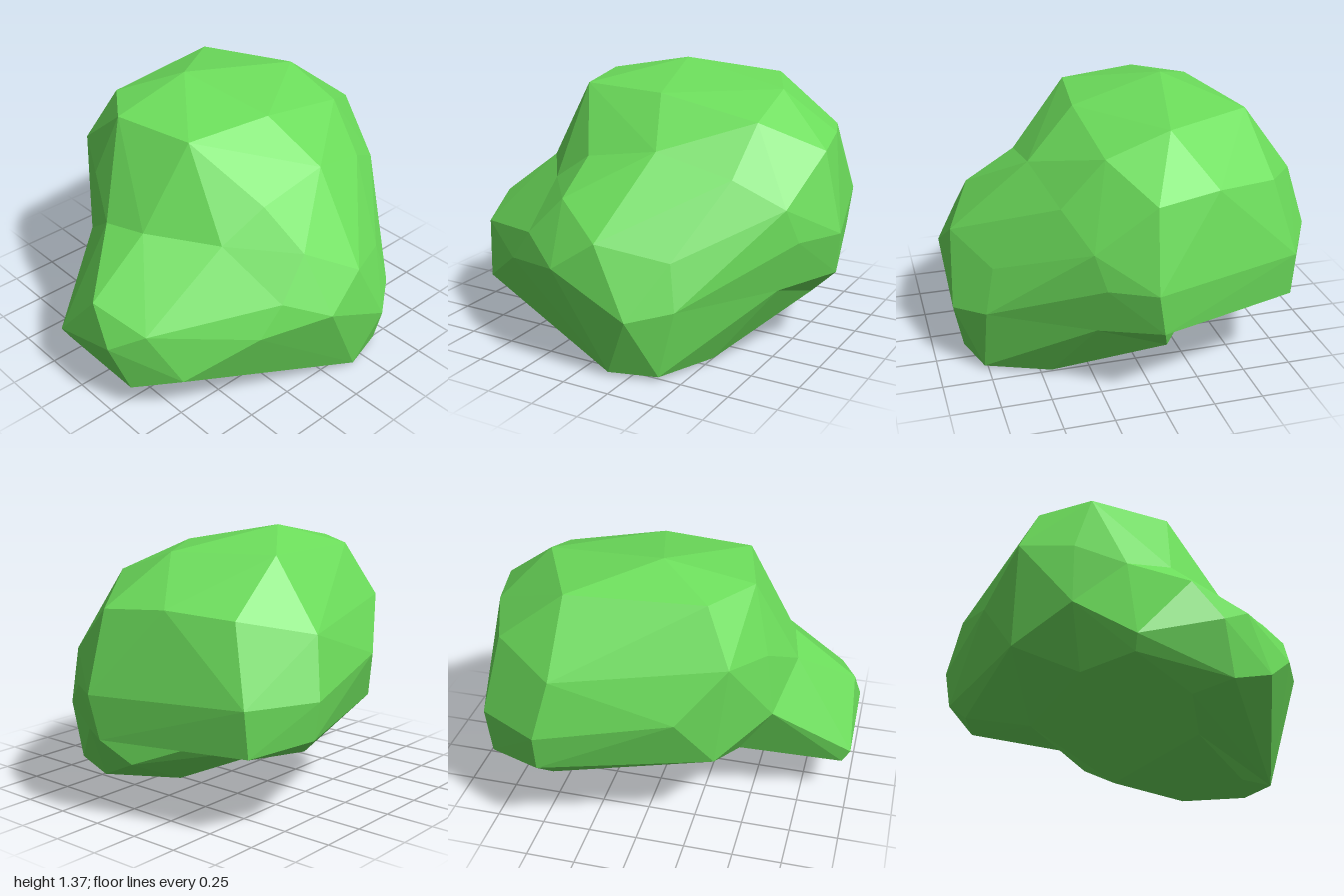
import * as THREE from 'three';
import { ConvexGeometry } from 'three/addons/geometries/ConvexGeometry.js';

// Faceted convex clump through a set of corner points
function clump(name, points, material) {
  const geometry = new ConvexGeometry(points.map((p) => new THREE.Vector3(...p)));
  const mesh = new THREE.Mesh(geometry, material);
  mesh.name = name;
  return mesh;
}

export function createModel() {
  const leafGreen = new THREE.MeshStandardMaterial({ color: 0x6cdd5b });
  leafGreen.name = 'leaf green';

  // Corners shared by neighbouring clumps
  const shoulder = [
    [-0.41, 0.82, 0.43], [-0.18, 0.97, 0.48], [0.21, 1.04, 0.48], [0.58, 0.93, 0.4],
    [0.82, 0.79, 0.3], [0.87, 0.62, 0.25], [0.78, 0.37, 0.28], [-0.38, 0.3, 0.3],
  ];
  const chin = [
    [0.47, 0.36, 0.76], [0.28, 0.32, 0.9], [-0.12, 0.52, 0.91], [-0.46, 0.47, 0.76],
  ];
  const waist = [-0.61, 0.62, -0.37];
  const flank = [[-0.69, 0.81, -0.12], [-0.64, 0.84, 0.11], waist];
  const rightTip = [0.97, 0.41, 0];
  const rightLow = [0.82, 0.26, -0.06];
  const backCorner = [-0.37, 0.47, -0.63];
  const backLow = [[0.75, 0.41, -0.73], [0.41, 0.38, -0.79], backCorner];
  const valley = [[0.6, 0.33, -0.25], [0.17, 0.27, -0.46]];
  const hollow = [-0.44, 0.33, -0.3];
  const sole = [-0.38, 0.08, 0.3];
  const toe = [0.15, 0.02, 0.84];

  // Tall rounded top with sides and back
  const crown = [
    [-0.03, 1.37, -0.28], [-0.3, 1.27, -0.51], [-0.48, 1.28, -0.26], [-0.38, 1.27, 0.16],
    [0.09, 1.27, 0.22], [0.6, 1.28, -0.13], [0.38, 1.28, -0.59], [0.61, 1.17, 0.19],
    [0.71, 1.02, -0.62], [0.83, 1.05, -0.3], [0.9, 1.03, 0.02], [1.0, 0.63, 0.04],
    [0.78, 0.64, -0.73], [0.46, 0.65, -0.91], [0.46, 0.46, -0.88], [0.39, 0.94, -0.84],
    [-0.2, 0.74, -0.76], [-0.43, 1.0, -0.62], [-0.57, 0.95, -0.36],
    rightTip, ...backLow, ...flank, ...shoulder,
  ];
  // Bulging front
  const front = [
    [0.42, 0.58, 0.71], [0.1, 0.67, 0.87], [-0.16, 0.82, 0.74], [-0.34, 0.63, 0.78],
    ...chin, ...shoulder,
  ];
  // Underside, tapering to the ground
  const base = [
    [0.52, 0.02, 0.45], [0.39, 0.02, 0.77], [0.02, 0, 0.64], [0.38, 0.055, 0.03],
    [0.65, 0.15, 0.24], [0.78, 0.37, 0.28], toe, sole, hollow, rightLow, backCorner,
    ...valley, ...chin,
  ];
  // Low lobe bulging out on one side
  const lobe = [
    [-0.97, 0.59, 0.12], [-0.88, 0.5, 0.41], [-1, 0.4, 0.26], [-1, 0.29, -0.14],
    [-0.96, 0.22, -0.14], [-0.92, 0.15, 0.32], [-0.82, 0.1, 0.15], [-0.77, 0.25, 0.55],
    [-0.41, 0.82, 0.43], [-0.34, 0.63, 0.78], [-0.46, 0.47, 0.76],
    toe, sole, hollow, ...flank,
  ];

  const bush = new THREE.Group();
  bush.name = 'bush';
  bush.add(
    clump('crown', crown, leafGreen),
    clump('frontBulge', front, leafGreen),
    clump('base', base, leafGreen),
    clump('sideLobe', lobe, leafGreen),
    clump('backUnderside', [rightTip, ...backLow, ...valley], leafGreen),
    clump('rightUnderside', [backCorner, waist, hollow, valley[1]], leafGreen),
    clump('leftUnderside', [rightTip, rightLow, [0.78, 0.37, 0.28], valley[0]], leafGreen),
  );
  return bush;
}
